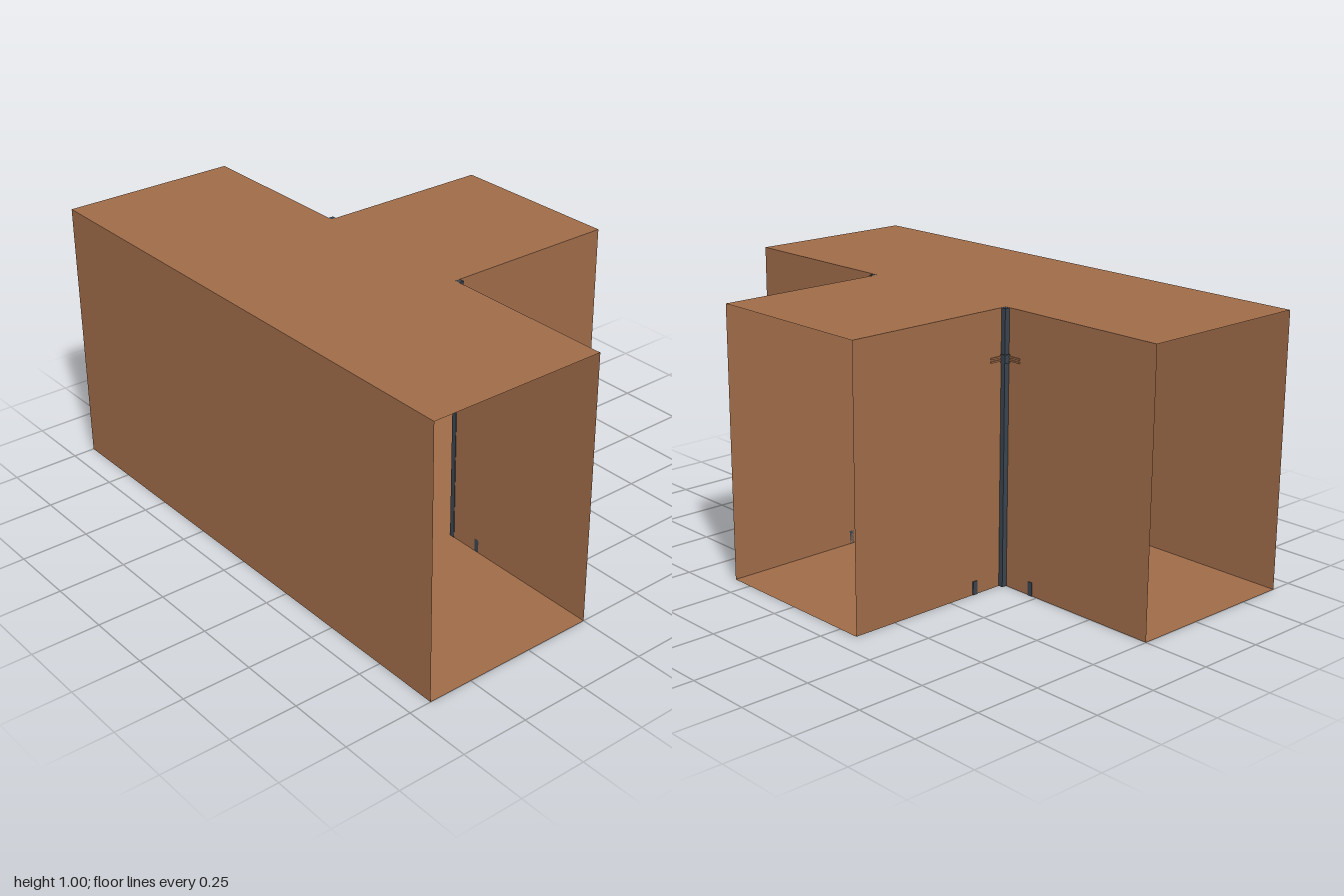
import * as THREE from 'three';

export function createModel() {
  const model = new THREE.Group();
  const brown = new THREE.MeshStandardMaterial({ color: 0x9e6b48, side: THREE.DoubleSide });
  brown.name = 'brown panel';
  const slate = new THREE.MeshStandardMaterial({ color: 0x3a434e });
  slate.name = 'slate metal';

  const W = 2 / 3, S = 1 / 3, H = 1; // passage width, branch half width, height

  const add = (name, geometry, material, parent = model) => {
    const mesh = new THREE.Mesh(geometry, material);
    mesh.name = name;
    parent.add(mesh);
    return mesh;
  };

  // T-shaped floor and ceiling sheets
  const outline = [[-W, -1], [0, -1], [0, -S], [W, -S], [W, S], [0, S], [0, 1], [-W, 1]];
  const tee = new THREE.Shape(outline.map(([x, z]) => new THREE.Vector2(x, z)));
  add('floor', new THREE.ShapeGeometry(tee).rotateX(Math.PI / 2), brown);
  add('ceiling', new THREE.ShapeGeometry(tee).rotateX(-Math.PI / 2).translate(0, H, 0), brown);

  // Long unbroken wall opposite the branch
  add('backWall', new THREE.PlaneGeometry(2, H).rotateY(-Math.PI / 2).translate(-W, H / 2, 0), brown);

  // Box given by its lowest and highest corners
  const box = (x0, x1, y0, y1, z0, z1) => new THREE.BoxGeometry(x1 - x0, y1 - y0, z1 - z0)
    .translate((x0 + x1) / 2, (y0 + y1) / 2, (z0 + z1) / 2);

  // Walls and corner fittings, mirrored on both sides of the branch; the three ends stay open
  for (const s of [1, -1]) {
    const side = new THREE.Group();
    side.name = s > 0 ? 'frontCorner' : 'rearCorner';
    model.add(side);
    const part = (name, material, x0, x1, y0, y1, z0, z1) =>
      add(name, box(x0, x1, y0, y1, Math.min(s * z0, s * z1), Math.max(s * z0, s * z1)), material, side);

    add('mainWall', new THREE.PlaneGeometry(1 - S, H).rotateY(Math.PI / 2)
      .translate(0, H / 2, s * (1 + S) / 2), brown, side);
    add('branchWall', new THREE.PlaneGeometry(W, H).rotateY(s > 0 ? 0 : Math.PI)
      .translate(W / 2, H / 2, s * S), brown, side);

    // Upright post in the inner corner
    part('cornerPost', slate, -0.002, 0.02, 0.0005, H - 0.0005, S - 0.002, S + 0.018);

    // Small collar with short ribs near the top
    part('collar', slate, 0, 0.023, 0.81, 0.84, S, S + 0.022);
    for (const y of [0.819, 0.831]) {
      part('branchRib', brown, 0.02, 0.07, y - 0.003, y + 0.003, S, S + 0.004);
      part('mainRib', brown, 0, 0.004, y - 0.003, y + 0.003, S + 0.02, S + 0.07);
    }

    // Thin foot plates on both walls
    part('branchFootPlate', slate, 0.125, 0.145, 0, 0.05, S, S + 0.003);
    part('mainFootPlate', slate, 0, 0.003, 0, 0.05, S + 0.125, S + 0.145);
  }
  return model;
}
